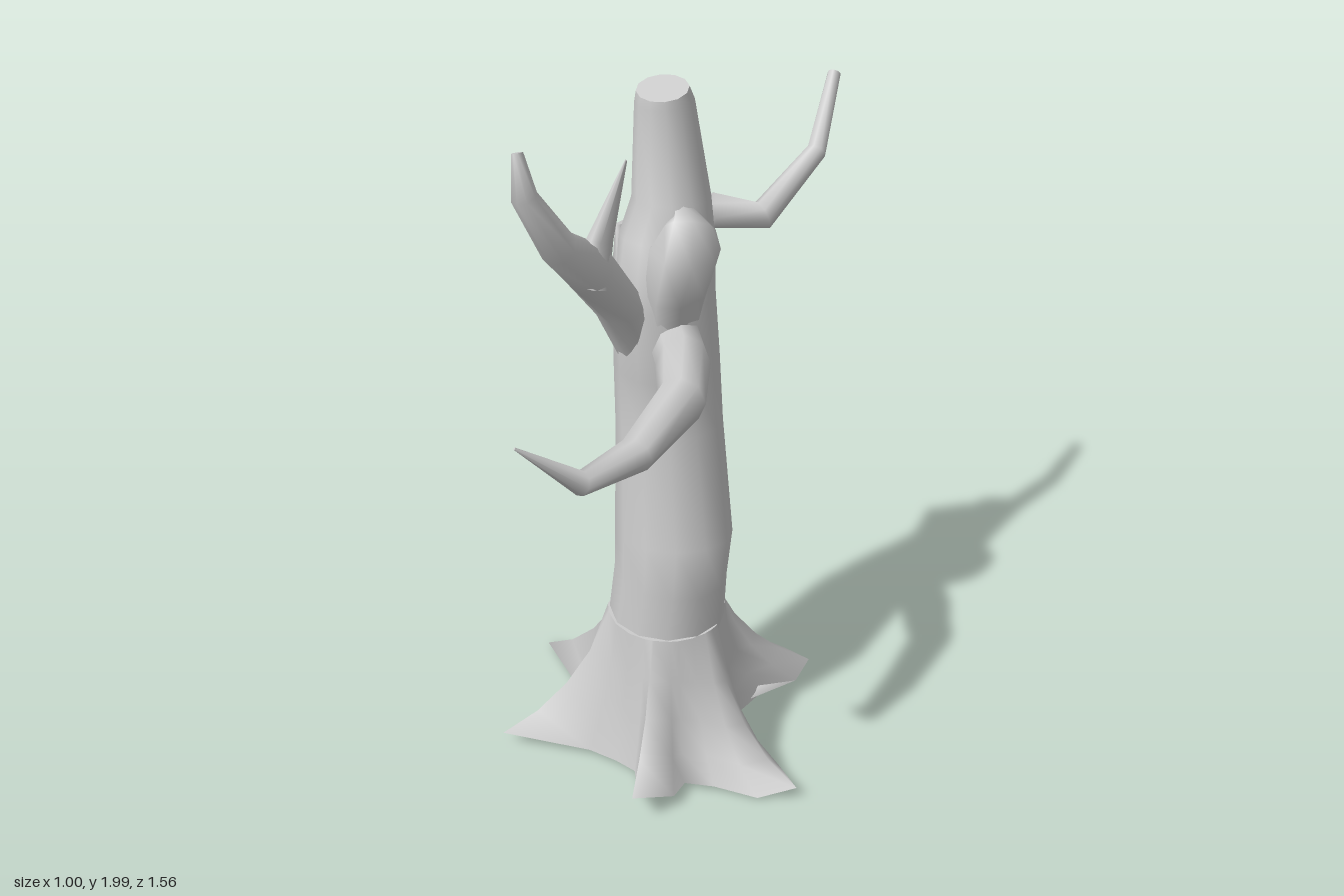
import * as THREE from 'three';

const material = new THREE.MeshStandardMaterial({ color: 0xcccccc, side: THREE.DoubleSide });
const V = (x, y, z) => new THREE.Vector3(x, y, z);
const X = V(1, 0, 0), Y = V(0, 1, 0), Z = V(0, 0, 1);

// Skins a list of equal-length rings and caps both ends.
function skin(name, rings) {
  const n = rings[0].length, last = rings.length - 1;
  const points = rings.flat(), index = [];
  for (let i = 0; i < last; i++) {
    for (let j = 0; j < n; j++) {
      const k = (j + 1) % n, a = i * n, b = a + n;
      index.push(a + j, a + k, b + j, a + k, b + k, b + j);
    }
  }
  // separate cap vertices keep the rims crisp
  for (const i of [0, last]) {
    const start = points.length;
    const centre = rings[i].reduce((sum, p) => sum.add(p), V(0, 0, 0)).divideScalar(n);
    points.push(...rings[i], centre);
    for (let j = 0; j < n; j++) {
      const a = start + j, b = start + (j + 1) % n;
      index.push(start + n, ...(i ? [a, b] : [b, a]));
    }
  }
  const geometry = new THREE.BufferGeometry().setFromPoints(points);
  geometry.setIndex(index);
  geometry.computeVertexNormals();
  const mesh = new THREE.Mesh(geometry, material);
  mesh.name = name;
  return mesh;
}

// Elliptical rings along a path of [x, y, z, sideRadius, upRadius].
function limb(name, path, ref = Y, sides = 8) {
  const centres = path.map(([x, y, z]) => V(x, y, z));
  return skin(name, path.map(([, , , a, b = a], i) => {
    const before = centres[Math.max(i - 1, 0)];
    const after = centres[Math.min(i + 1, path.length - 1)];
    const tangent = after.clone().sub(before).normalize();
    const side = tangent.clone().cross(ref).normalize();
    const up = tangent.clone().cross(side);
    return Array.from({ length: sides }, (_, j) => {
      const t = j / sides * Math.PI * 2;
      return centres[i].clone().addScaledVector(side, a * Math.cos(t)).addScaledVector(up, b * Math.sin(t));
    });
  }));
}

// Root outline seen from above as [x, y, z, bulgeHeight]: a curve joins each point to the trunk.
function rootFlare() {
  const rim = [
    // side root
    [0.26, 0.04, -0.02, 0.16], [0.4, 0.035, -0.03, 0.12], [0.5, 0.06, 0.055, 0.11], [0.4, 0.01, 0.1, 0.12], [0.28, 0.03, 0.14, 0.16],
    // front root
    [0.2, 0.03, 0.17, 0.18], [0.21, 0.05, 0.25, 0.21], [0.15, 0.12, 0.38, 0.23], [0.1, 0.04, 0.27, 0.21], [0.05, 0.03, 0.2, 0.2],
    // front corner root
    [-0.02, 0.03, 0.19, 0.18], [-0.11, 0.03, 0.19, 0.18], [-0.36, 0.05, 0.275, 0.17], [-0.28, 0.05, 0.11, 0.16],
    // long root
    [-0.17, 0.03, 0.05, 0.18], [-0.5, 0.02, -0.18, 0.16], [-0.16, 0.03, -0.25, 0.2],
    // back root
    [-0.05, 0.03, -0.31, 0.2], [0.07, 0.04, -0.4, 0.22], [0.15, 0.06, -0.475, 0.23], [0.21, 0.09, -0.46, 0.24],
    [0.285, 0.07, -0.47, 0.23], [0.28, 0.04, -0.39, 0.21], [0.21, 0.03, -0.3, 0.2], [0.19, 0.03, -0.17, 0.18],
  ];
  const curves = rim.map(([x, y, z, bulge]) => {
    const dx = x - 0.015, dz = z + 0.045, reach = Math.hypot(dx, dz);
    const at = (r, h) => V(0.015 + r * dx / reach, h, -0.045 + r * dz / reach);
    return new THREE.QuadraticBezierCurve3(at(0.17, 0.46), at(0.17 + 0.3 * (reach - 0.17), bulge), V(x, y, z));
  });
  return skin('rootFlare', [0, 0.25, 0.5, 0.75, 1].map(t => curves.map(c => c.getPoint(t))));
}

export function createModel() {
  const tree = new THREE.Group();
  tree.name = 'deadTree';

  // trunk: gentle bend, slanted broken top
  tree.add(limb('trunk', [
    [0.01, 0.38, -0.045, 0.168, 0.168],
    [0.03, 0.6, -0.04, 0.162, 0.15],
    [0.033, 0.73, -0.05, 0.168, 0.152],
    [-0.012, 1.05, -0.1, 0.147, 0.145],
    [-0.012, 1.25, -0.085, 0.14, 0.145],
    [-0.012, 1.45, -0.07, 0.128, 0.15],
    [-0.012, 1.6, -0.085, 0.12, 0.132],
    [-0.015, 1.7, -0.11, 0.102, 0.098],
    [-0.03, 1.95, -0.1, 0.076, 0.07],
    [-0.03, 1.983, -0.091, 0.068, 0.06],
  ], Z, 12));
  tree.add(rootFlare());

  // long front arm ending in an upturned point
  tree.add(limb('frontArm', [
    [0.03, 1.34, -0.05, 0.07, 0.085], [0.125, 1.34, 0.07, 0.07, 0.083], [0.21, 1.34, 0.23, 0.062, 0.065],
    [0.217, 1.31, 0.46, 0.048, 0.042], [0.188, 1.328, 0.65, 0.03, 0.03], [0.1, 1.46, 0.775, 0.003],
  ]));

  // bent branch at the back
  tree.add(limb('backBranch', [
    [-0.06, 1.55, -0.17, 0.065, 0.075], [-0.085, 1.56, -0.27, 0.058, 0.063], [-0.01, 1.575, -0.335, 0.05, 0.05],
    [0.1, 1.56, -0.4, 0.036, 0.042], [0.152, 1.68, -0.61, 0.028, 0.028], [0.12, 1.845, -0.77, 0.018, 0.02],
  ]));

  // forked limb: rising arm with a hooked prong, and an upright spike
  const fork = new THREE.Group();
  fork.name = 'forkedLimb';
  fork.add(
    limb('forkStem', [
      [-0.05, 1.27, 0, 0.03, 0.05], [-0.055, 1.46, 0.08, 0.055, 0.07], [-0.065, 1.61, 0.2, 0.068, 0.062],
      [-0.075, 1.71, 0.315, 0.048, 0.046], [-0.1, 1.87, 0.412, 0.03, 0.033], [-0.125, 1.965, 0.395, 0.016, 0.012],
    ], X),
    limb('forkSpike', [
      [-0.065, 1.58, 0.21, 0.055, 0.055], [-0.045, 1.69, 0.18, 0.042, 0.028], [0.005, 1.885, 0.14, 0.003],
    ], X),
  );
  tree.add(fork);

  // swollen knob merging into the trunk above the front arm, and a small splinter on the other side
  tree.add(limb('knob', [
    [0.04, 1.4, -0.04, 0.065, 0.09], [0.055, 1.5, -0.025, 0.075, 0.11],
    [0.08, 1.61, -0.015, 0.088, 0.105], [0.085, 1.665, -0.03, 0.06, 0.07], [0.05, 1.69, -0.07, 0.02, 0.03],
  ], Z));
  tree.add(limb('splinter', [
    [-0.09, 1.4, -0.06, 0.04, 0.065], [-0.11, 1.54, -0.06, 0.03, 0.065], [-0.127, 1.62, -0.07, 0.015, 0.045],
  ], Z));

  return tree;
}
